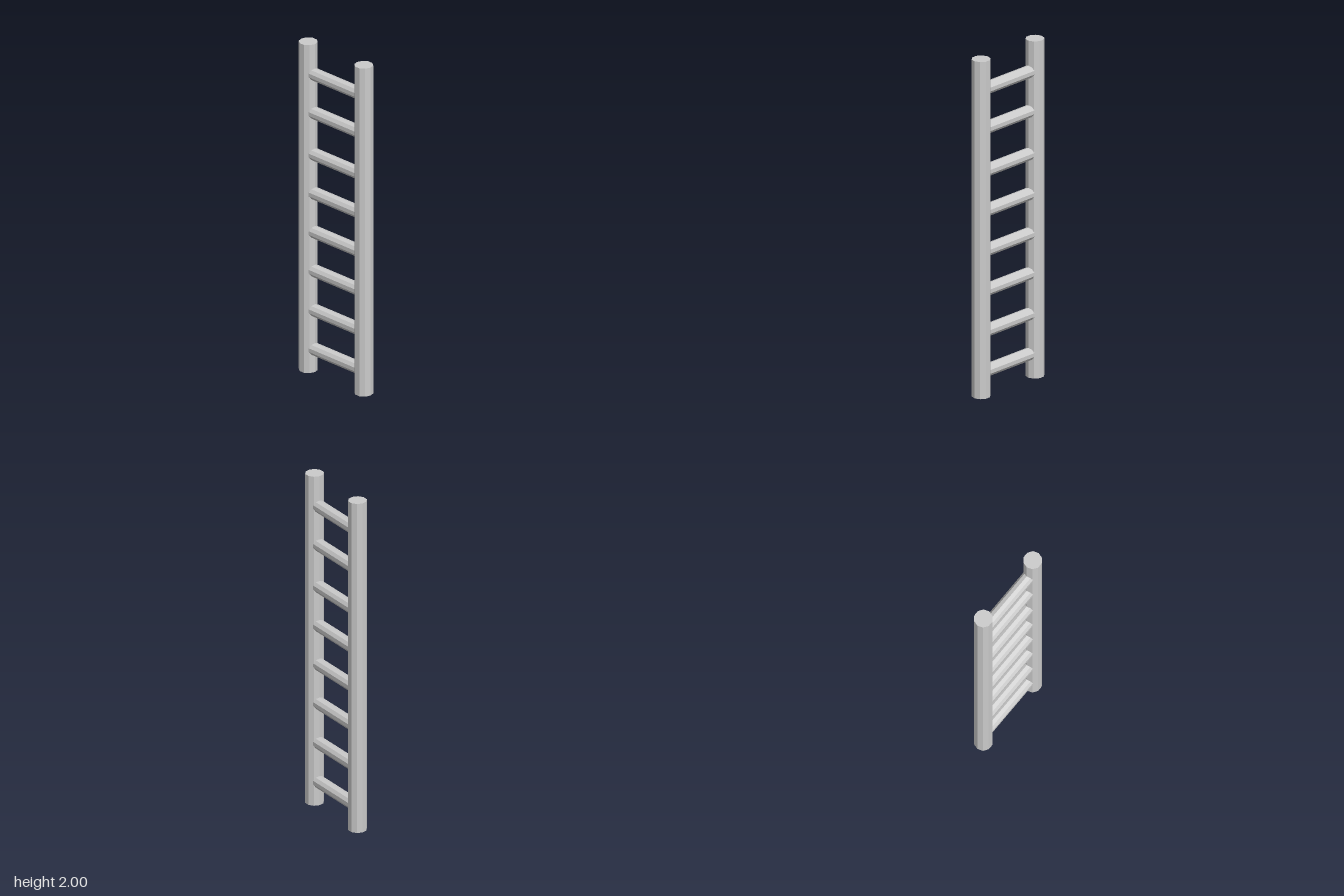
import * as THREE from 'three';

const SIDES = 10;
const RAIL_Z = 0.22;
const RUNG_HEIGHTS = [0.14, 0.377, 0.618, 0.854, 1.09, 1.327, 1.58, 1.815];

export function createModel() {
  const ladder = new THREE.Group();
  ladder.name = 'ladder';
  const material = new THREE.MeshStandardMaterial({ color: 0xcccccc, flatShading: true });

  // Two upright ten-sided rails
  const railGeometry = new THREE.CylinderGeometry(0.0535, 0.0535, 2, SIDES);
  for (const side of [1, -1]) {
    const rail = new THREE.Mesh(railGeometry, material);
    rail.name = side > 0 ? 'frontRail' : 'backRail';
    rail.position.set(0, 1, side * RAIL_Z);
    ladder.add(rail);
  }

  // Rungs lie along z, with their ends sunk into the rails
  const rungGeometry = new THREE.CylinderGeometry(0.0364, 0.0364, 0.4, SIDES);
  rungGeometry.rotateX(Math.PI / 2);
  RUNG_HEIGHTS.forEach((y, i) => {
    const rung = new THREE.Mesh(rungGeometry, material);
    rung.name = `rung${i + 1}`;
    rung.position.y = y;
    ladder.add(rung);
  });

  return ladder;
}
